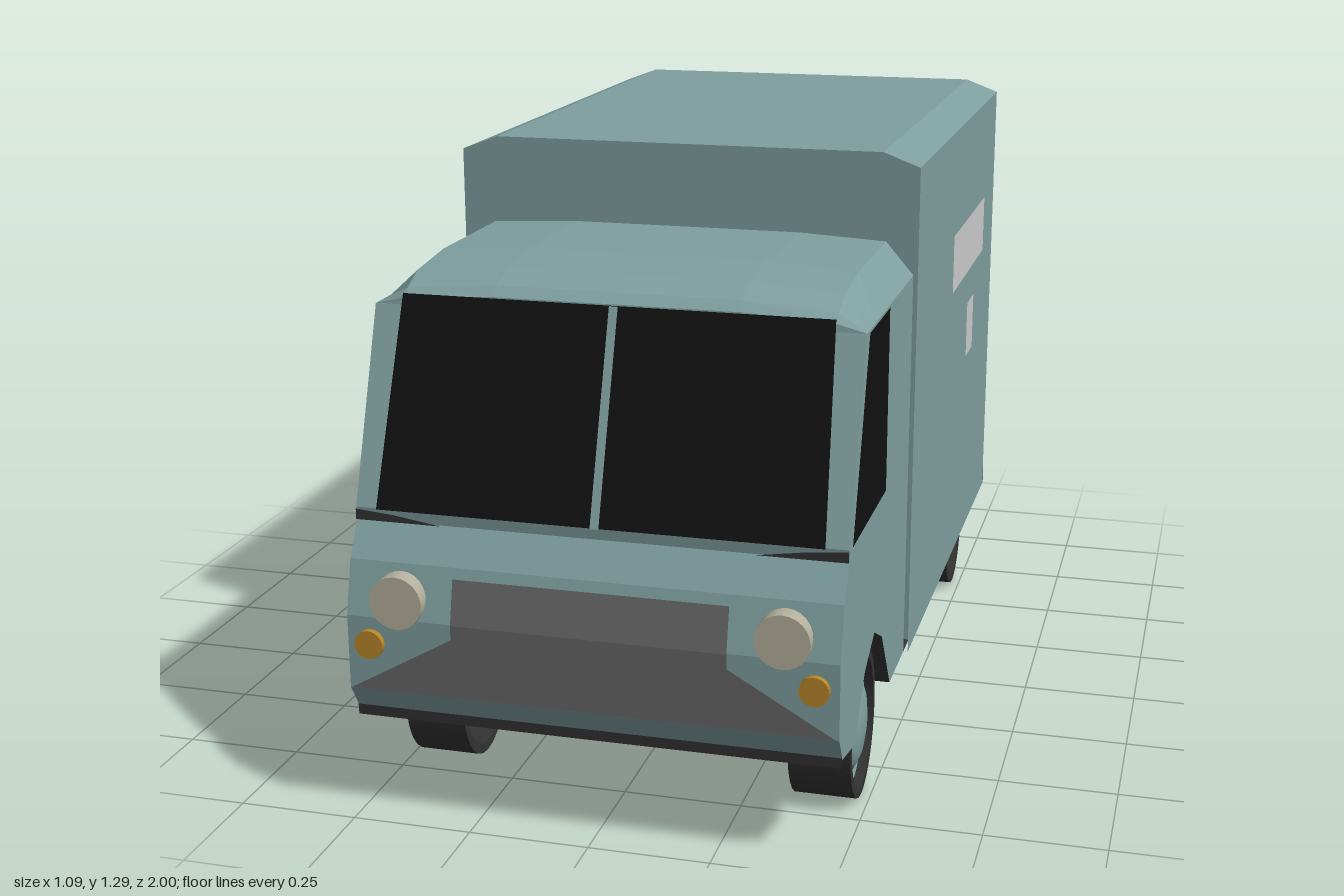
import * as THREE from 'three';
import { toCreasedNormals } from 'three/addons/utils/BufferGeometryUtils.js';

const paint = (color) => new THREE.MeshStandardMaterial({ color, side: THREE.DoubleSide });
const BODY = paint(0x7f9f9f), DARK = paint(0x333333), GLASS = paint(0x111111);
const GRILLE = paint(0x666666), LAMP = paint(0xb5b09c), AMBER = paint(0xb8862a), SIGN = paint(0xcccccc);
const CAB = 0.5, BOX = 0.51;

// Flat-faceted surface through rows of [x, y, z] points
function grid(rows) {
  const n = rows[0].length, index = [];
  for (let r = 0; r < rows.length - 1; r++) {
    for (let c = 0; c < n - 1; c++) {
      const a = r * n + c, b = a + n;
      index.push(a, a + 1, b, b, a + 1, b + 1);
    }
  }
  const indexed = new THREE.BufferGeometry();
  indexed.setAttribute('position', new THREE.Float32BufferAttribute(rows.flat(2), 3));
  indexed.setIndex(index);
  const geo = indexed.toNonIndexed();
  geo.computeVertexNormals();
  return geo;
}

// Symmetric strip across x, from rows of [z, y, halfWidth]
const strip = (rows) => grid(rows.map(([z, y, w]) => [[w, y, z], [-w, y, z]]));

// Flat panel in the z-y plane at a given x
function sidePanel(points, x) {
  const shape = new THREE.Shape(points.map(([z, y]) => new THREE.Vector2(-z, y)));
  return new THREE.ShapeGeometry(shape).rotateY(Math.PI / 2).translate(x, 0, 0);
}

const rect = (z0, z1, y0, y1) => [[z0, y0], [z1, y0], [z1, y1], [z0, y1]];

export function createModel() {
  const model = new THREE.Group();
  const add = (name, geo, mat, parent = model) => {
    const mesh = new THREE.Mesh(geo, mat);
    mesh.name = name;
    parent.add(mesh);
    return mesh;
  };

  // Cargo box: open-bottomed shell with a chamfered roof, plus end walls
  const section = [[BOX, 0.17], [BOX, 1.26], [0.43, 1.29], [-0.43, 1.29], [-BOX, 1.26], [-BOX, 0.17]];
  add('cargoShell', grid([0.255, -0.99].map((z) => section.map(([x, y]) => [x, y, z]))), BODY);
  const wall = new THREE.ShapeGeometry(new THREE.Shape(section.map(([x, y]) => new THREE.Vector2(x, y))));
  add('cargoRearWall', wall.clone().rotateY(Math.PI).translate(0, 0, -0.99), BODY);

  // Cargo front wall only rises above the cab
  const brow = section.map(([x, y]) => new THREE.Vector2(x, Math.max(y, 0.2)));
  add('cargoFrontWall', new THREE.ShapeGeometry(new THREE.Shape(brow)).translate(0, 0, 0.255), BODY);

  // Side outline of the cab, split into underside and nose
  const frontArch = [[0.43, 0.17], [0.54, 0.32], [0.63, 0.365], [0.73, 0.32], [0.81, 0.22]];
  const chin = [[0.85, 0.21], [0.95, 0.23]];
  const nose = [[0.95, 0.23], [0.985, 0.285], [0.985, 0.44], [0.957, 0.55], [0.915, 0.62], [0.918, 0.645], [0.779, 1.03]];
  const outline = [[0.255, 0.17], ...frontArch, chin[0], ...nose, [0.255, 1.03]];
  const rearArch = [[-0.855, 0.17], [-0.755, 0.32], [-0.655, 0.365], [-0.555, 0.32], [-0.455, 0.17]];
  const across = (pts, w) => strip(pts.map(([z, y]) => [z, y, w]));
  add('cabFront', across(nose, CAB), BODY);
  add('underside', across([[-0.99, 0.172], ...rearArch, ...frontArch, ...chin], CAB), DARK);
  add('chinBand', across([[0.952, 0.212], [0.954, 0.235]], CAB), DARK);

  // Cab roof: rounded down toward the windscreen; rows are [z, inner edge y, middle y]
  const roof = [[0.255, 1.1, 1.11], [0.56, 1.1, 1.11], [0.7, 1.085, 1.1], [0.755, 1.06, 1.075], [0.777, 1.045, 1.056], [0.779, 1.03, 1.03]];
  add('cabRoof', grid(roof.map(([z, yi, ym]) => [
    [CAB, 1.03, z], [0.44, yi, z], [0.25, ym, z], [-0.25, ym, z], [-0.44, yi, z], [-CAB, 1.03, z],
  ])), BODY);

  // Windscreen with centre post
  add('windscreen', strip([[0.924, 0.645, 0.455], [0.78, 1.054, 0.44]]), GLASS);
  add('windscreenPost', strip([[0.928, 0.645, 0.009], [0.784, 1.054, 0.009]]), BODY);

  // Grille following the nose
  add('grille', strip([[0.989, 0.287, 0.495], [0.989, 0.41, 0.28], [0.989, 0.44, 0.28], [0.968, 0.53, 0.28]]), GRILLE);

  // Rear bumper
  add('rearBumper', new THREE.BoxGeometry(1.02, 0.045, 0.014).translate(0, 0.1925, -0.993), GRILLE);

  for (const s of [1, -1]) {
    const side = new THREE.Group();
    side.name = s > 0 ? 'leftSide' : 'rightSide';
    model.add(side);
    add('cabSide', sidePanel(outline, s * CAB), BODY, side);
    add('sideWindow', sidePanel([[0.55, 0.645], [0.9, 0.645], [0.765, 1.028], [0.55, 1.028]], s * (CAB + 0.003)), GLASS, side);

    // Panels standing off the cargo walls
    add('longSign', sidePanel(rect(-0.55, -0.045, 0.925, 1.057), s * 0.543), SIGN, side);
    add('smallSign', sidePanel(rect(-0.405, -0.3, 0.713, 0.845), s * 0.543), SIGN, side);

    add('rearWindow', new THREE.PlaneGeometry(0.375, 0.065).rotateY(Math.PI).translate(s * 0.238, 0.737, -0.994), GLASS, side).material = DARK;

    // Shadow gap under the windscreen corner
    const gap = new THREE.Shape([[0.5, 0.62], [0.5, 0.642], [0.42, 0.635], [0.32, 0.62]].map(([x, y]) => new THREE.Vector2(s * x, y)));
    add('cowlGap', new THREE.ShapeGeometry(gap).translate(0, 0, 0.921), DARK, side);

    // Lamps
    for (const [name, x, y, r, z, mat] of [['headlight', 0.39, 0.48, 0.055, 1, LAMP], ['indicator', 0.452, 0.385, 0.03, 0.998, AMBER]]) {
      add(name, new THREE.CylinderGeometry(r, r, 0.045, 24).rotateX(Math.PI / 2).translate(s * x, y, z - 0.0225), mat, side);
    }

    // Wheels: open tyre with a domed hub, slightly taller than long
    for (const [name, z] of [['frontWheel', 0.63], ['rearWheel', -0.655]]) {
      const wheel = new THREE.Group();
      wheel.name = name;
      const lathe = (pts) => toCreasedNormals(
        new THREE.LatheGeometry(pts.map(([r, h]) => new THREE.Vector2(r, h)), 28).rotateZ(-Math.PI / 2), 0.6);
      add('tyre', lathe([[0.139, -0.065], [0.16, -0.065], [0.16, 0.065], [0.139, 0.065], [0.139, -0.065]]), DARK, wheel);
      add('hub', lathe([[0.139, 0.045], [0.11, 0.035], [0.1, 0.05], [0.07, 0.063], [0.035, 0.069], [0, 0.071]]), BODY, wheel);
      wheel.position.set(s * 0.415, 0.162, z);
      wheel.rotation.y = s > 0 ? 0 : Math.PI;
      wheel.scale.z = 0.84;
      side.add(wheel);
    }
  }
  return model;
}
